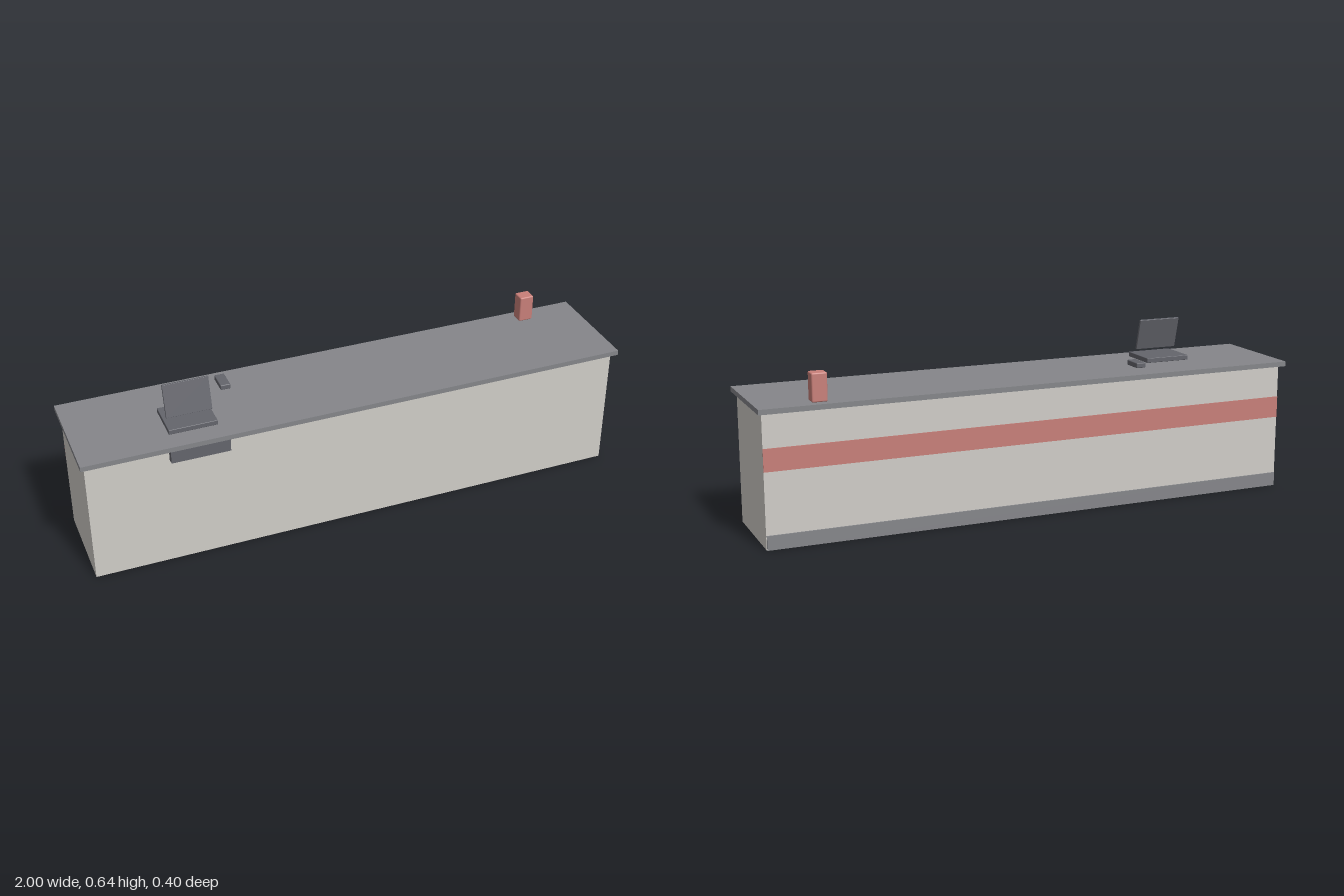
import * as THREE from 'three';
import { RoundedBoxGeometry } from 'three/addons/geometries/RoundedBoxGeometry.js';

const mat = (name, color) => {
  const m = new THREE.MeshStandardMaterial({ color });
  m.name = name;
  return m;
};

export function createModel() {
  const group = new THREE.Group();
  group.name = 'serviceCounter';

  const cream = mat('warmOffWhite', 0xd0cdc8);
  const grey = mat('worktopGrey', 0x85868a);
  const dark = mat('darkGrey', 0x64656c);
  const red = mat('softRed', 0xc87f79);

  // Box given by its extents on each axis, with optional rounded edges
  const box = (name, material, [x0, x1], [y0, y1], [z0, z1], radius = 0) => {
    const size = [x1 - x0, y1 - y0, z1 - z0];
    const geometry = radius
      ? new RoundedBoxGeometry(...size, 2, radius)
      : new THREE.BoxGeometry(...size);
    const mesh = new THREE.Mesh(geometry, material);
    mesh.name = name;
    mesh.position.set((x0 + x1) / 2, (y0 + y1) / 2, (z0 + z1) / 2);
    group.add(mesh);
    return mesh;
  };

  // Counter body and overhanging worktop
  box('counterBody', cream, [-0.985, 0.985], [0.0006, 0.465], [-0.172, 0.173]);
  box('worktop', grey, [-1, 1], [0.465, 0.483], [-0.197, 0.198]);

  // Customer side: colour band and kick plate
  box('colourBand', red, [-0.985, 0.985], [0.267, 0.346], [-0.174, -0.171]);
  box('kickPlate', grey, [-0.983, 0.983], [0, 0.05], [-0.177, -0.125]);

  // Staff side: cash drawer under the worktop
  box('cashDrawer', dark, [-0.696, -0.488], [0.42, 0.465], [0.1, 0.198]);

  // Till with tilted screen
  box('tillBase', dark, [-0.68, -0.508], [0.484, 0.502], [-0.024, 0.124], 0.002);
  const screen = box('tillScreen', dark, [-0.674, -0.512], [0.519, 0.636], [0.0555, 0.065], 0.001);
  screen.rotation.x = -0.25;

  // Card reader and donation box
  box('cardReader', dark, [-0.439, -0.403], [0.494, 0.513], [-0.138, -0.062], 0.003);
  box('collectionBox', red, [0.76, 0.814], [0.484, 0.583], [-0.172, -0.124], 0.005);

  return group;
}
